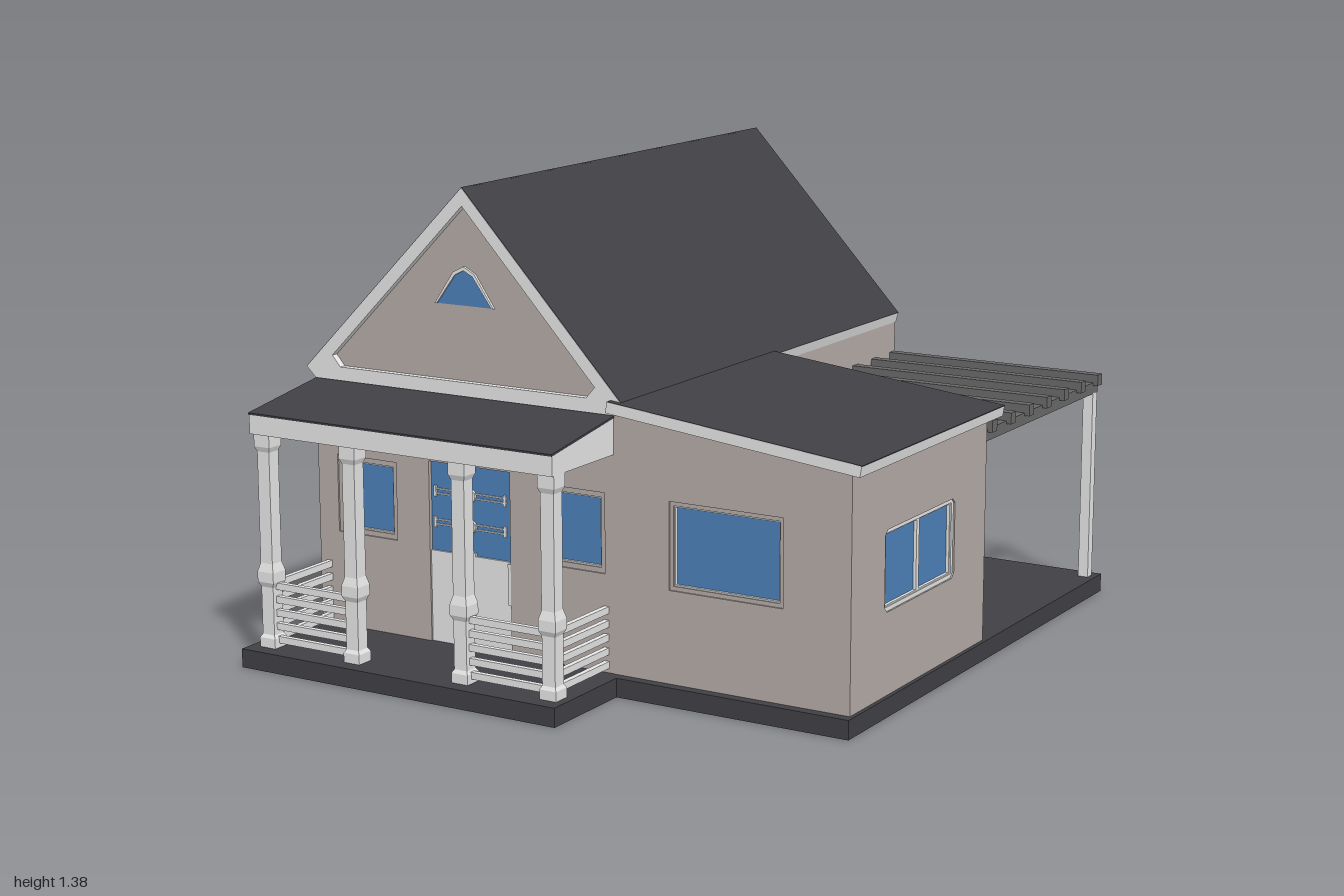
import * as THREE from 'three';

const flat = (name, color) => {
  const m = new THREE.MeshStandardMaterial({ color });
  m.name = name;
  return m;
};

export function createModel() {
  const house = new THREE.Group();
  house.name = 'house';
  const wall = flat('taupe wall', 0xb4aba6);
  const white = flat('white trim', 0xe6e6e6);
  const dark = flat('dark roof', 0x403f45);
  const blue = flat('blue glass', 0x4c80b8);
  const timber = flat('grey timber', 0x696969);

  const add = (name, geo, mat, parent = house) => {
    const m = new THREE.Mesh(geo, mat);
    m.name = name;
    parent.add(m);
    return m;
  };
  // Box given by its limits on each axis
  const box = (name, x0, x1, y0, y1, z0, z1, mat, parent) => {
    const m = add(name, new THREE.BoxGeometry(x1 - x0, y1 - y0, z1 - z0), mat, parent);
    m.position.set((x0 + x1) / 2, (y0 + y1) / 2, (z0 + z1) / 2);
    return m;
  };
  const vectors = pts => pts.map(p => new THREE.Vector2(...p));
  // Outline in x, y, with holes, pushed from z0 to z1
  const prism = (name, pts, z0, z1, mat, holes = [], parent = house) => {
    const s = new THREE.Shape(vectors(pts));
    s.holes = holes.map(h => new THREE.Path(vectors(h)));
    const m = add(name, new THREE.ExtrudeGeometry(s, { depth: z1 - z0, bevelEnabled: false }), mat, parent);
    m.position.z = z0;
    return m;
  };
  // Outline in x, -z raised from y0 to y1
  const plan = (name, pts, y0, y1, mat, holes) => {
    const m = prism(name, pts, 0, y1 - y0, mat, holes);
    m.rotation.x = -Math.PI / 2;
    m.position.y = y0;
  };
  // Thin sloping panel with its top on the line from (x0, y0) to (x1, y1)
  const panel = (name, x0, y0, x1, y1, z0, z1, t) => {
    const a = Math.atan2(y1 - y0, x1 - x0);
    const m = add(name, new THREE.BoxGeometry(Math.hypot(x1 - x0, y1 - y0), t, z1 - z0), dark);
    m.position.set((x0 + x1) / 2 + Math.sin(a) * t / 2, (y0 + y1) / 2 - Math.cos(a) * t / 2, (z0 + z1) / 2);
    m.rotation.z = a;
  };
  // Rectangle about (x, y) with corners cut by c
  const rect = (x, y, w, h, c = 0) => {
    const a = w / 2, b = h / 2;
    if (!c) return [[x - a, y - b], [x + a, y - b], [x + a, y + b], [x - a, y + b]];
    return [[x - a + c, y - b], [x + a - c, y - b], [x + a, y - b + c], [x + a, y + b - c],
      [x + a - c, y + b], [x - a + c, y + b], [x - a, y + b - c], [x - a, y - b + c]];
  };

  // Foundation: thin floor on a hollow skirt
  const edge = i => [[-0.91 + i, -1 + i], [0.158 - i, -1 + i], [0.158 - i, -0.69 + i],
    [0.882 - i, -0.69 + i], [0.882 - i, 1 - i], [-0.91 + i, 1 - i]];
  plan('skirt', edge(0), 0, 0.055, dark, [edge(0.006)]);
  plan('floor', edge(0.003), 0.046, 0.055, dark);

  // Wall with window openings; its outer face is local z = 0
  const facade = (name, outline, windows, x, z, turn, doorway = []) => {
    const g = new THREE.Group();
    g.name = name;
    g.position.set(x, 0, z);
    g.rotation.y = turn;
    house.add(g);
    const holes = windows.map(w => rect(w.u, w.y, w.w, w.h, w.cut));
    prism('wall', outline, -0.03, 0, wall, [...holes, ...doorway], g);
    windows.forEach((w, i) => {
      const r = w.rim;
      const inner = rect(w.u, w.y, w.w - 2 * r, w.h - 2 * r);
      prism('frame', holes[i], -0.03, -0.005, w.mat, [inner], g);
      prism('innerFrame', inner, -0.03, -0.009, white, [rect(w.u, w.y, w.w - 2 * r - 0.008, w.h - 2 * r - 0.008)], g);
      prism('glass', inner, -0.025, -0.018, blue, [], g);
      if (w.split) box('mullion', w.u - 0.008, w.u + 0.008, w.y - w.h / 2 + r, w.y + w.h / 2 - r, -0.025, -0.009, white, g);
    });
    return g;
  };
  const span = (a, b, ya, yb = ya) => [[a, 0.05], [b, 0.05], [b, yb], [a, ya]];
  const q = Math.PI / 2;
  const small = { y: 0.453, w: 0.21, h: 0.23, rim: 0.015, mat: wall };
  const tall = { y: 0.47, w: 0.48, h: 0.28, rim: 0.014, mat: wall };

  // Main walls
  const front = facade('frontWall', [[-0.885, 0.05], [-0.49, 0.05], [-0.49, 0.587], [-0.212, 0.587], [-0.212, 0.05],
    [0.14, 0.05], [0.14, 0.8], [-0.885, 0.8]], [{ ...small, u: -0.71 }, { ...small, u: -0.002 }], 0, 0.658, 0);
  facade('backWall', span(-0.16, 0.885, 0.8), [], 0, -0.98, Math.PI);
  facade('leftWall', span(-0.98, 0.658, 0.8), [{ ...tall, u: -0.58 }, { ...tall, u: 0.24, w: 0.5 }], -0.885, 0, -q);
  facade('rightWall', span(-0.6, 0.98, 0.8),
    [{ u: 0.572, y: 0.453, w: 0.37, h: 0.265, rim: 0.014, mat: white }], 0.16, 0, q);

  // Side wing walls
  facade('wingFront', span(0.132, 0.87, 0.805, 0.725),
    [{ u: 0.488, y: 0.446, w: 0.355, h: 0.25, rim: 0.012, mat: wall }], 0, 0.66, 0);
  facade('wingSide', span(-0.66, 0.16, 0.725),
    [{ u: -0.253, y: 0.405, w: 0.425, h: 0.23, cut: 0.014, rim: 0.012, mat: white, split: true }], 0.87, 0, q);
  facade('wingBack', span(-0.87, -0.15, 0.725, 0.803),
    [{ u: -0.51, y: 0.46, w: 0.34, h: 0.25, rim: 0.012, mat: white, split: true }], 0, -0.16, Math.PI);

  // Front door with glazed, ornamented upper half
  const door = new THREE.Group();
  door.name = 'frontDoor';
  front.add(door);
  box('doorPanel', -0.49, -0.212, 0.05, 0.325, -0.03, -0.006, white, door);
  box('doorGlass', -0.49, -0.212, 0.325, 0.587, -0.03, -0.012, blue, door);
  box('doorHandle', -0.222, -0.208, 0.2, 0.32, -0.01, 0, white, door);
  for (const y of [0.41, 0.5]) {
    for (const d of [-0.007, 0.007]) box('doorBar', -0.48, -0.23, y + d - 0.002, y + d + 0.002, -0.015, -0.007, white, door);
    for (const x of [-0.475, -0.235]) box('barEnd', x - 0.004, x + 0.004, y - 0.016, y + 0.016, -0.015, -0.006, white, door);
    const rosette = add('rosette', new THREE.CylinderGeometry(0.021, 0.021, 0.01, 12), white, door);
    rosette.rotation.x = q;
    rosette.position.set(-0.355, y, -0.009);
  }
  for (const y of [0.33, 0.58]) box('barCentre', -0.375, -0.335, y - 0.005, y + 0.005, -0.015, -0.005, white, door);

  // Main roof: trim frame, recessed gables and dark slopes
  const gable = [[-0.88, 0.79], [0.16, 0.79], [0.168, 0.82], [-0.355, 1.379], [-0.912, 0.82]];
  const recess = [[-0.79, 0.83], [0.05, 0.83], [0.078, 0.862], [-0.355, 1.328], [-0.818, 0.862]];
  prism('roofTrim', gable, -0.987, 0.666, white, [recess]);
  panel('leftRoof', -0.913, 0.821, -0.355, 1.381, -0.986, 0.665, 0.004);
  panel('rightRoof', -0.355, 1.381, 0.169, 0.821, -0.986, 0.665, 0.004);
  for (const [z, turn] of [[0.645, 0], [-0.966, Math.PI]]) {
    const g = new THREE.Group();
    g.name = 'gable';
    g.position.set(-0.362, 0, z);
    g.rotation.y = turn;
    house.add(g);
    const side = turn ? -1 : 1;
    const outline = recess.map(([x, y]) => [side * (x + 0.362), y]);
    prism('gableWall', outline, -0.02, 0, wall, [], g);
    const arch = [[-0.093, 1.045], [0.093, 1.045], [0.03, 1.13], [0, 1.145], [-0.03, 1.13]];
    prism('atticGlass', arch, 0, 0.003, blue, [], g);
    prism('atticTrim', [[0.093, 1.045], [0.1, 1.045], [0.036, 1.138], [0, 1.156], [-0.036, 1.138],
      [-0.1, 1.045], [-0.093, 1.045], ...arch.slice(2).reverse()], 0, 0.008, white, [], g);
  }

  // Chimney with a shallow flue
  plan('chimney', rect(-0.606, 0.39, 0.168, 0.5), 0.955, 1.255, white, [rect(-0.607, 0.392, 0.066, 0.345)]);
  box('flueFloor', -0.645, -0.57, 1.0, 1.2, -0.57, -0.215, white);

  // Wing roof
  prism('wingRoofTrim', [[0.125, 0.8], [0.905, 0.715], [0.91, 0.746], [0.13, 0.831]], -0.189, 0.687, white);
  panel('wingRoof', 0.13, 0.832, 0.911, 0.747, -0.188, 0.686, 0.003);

  // Porch canopy
  for (const x of [-0.84, 0.135]) {
    const m = prism('porchCheek', [[0.655, 0.68], [0.965, 0.68], [0.965, 0.736], [0.655, 0.783]], 0, 0.045, white);
    m.rotation.y = -q;
    m.position.set(x, 0, 0);
  }
  box('porchBeam', -0.885, 0.135, 0.68, 0.736, 0.92, 0.965, white);
  const canopy = add('porchRoof', new THREE.BoxGeometry(1.022, 0.006, 0.316), dark);
  canopy.position.set(-0.375, 0.762, 0.811);
  canopy.rotation.x = Math.atan2(0.047, 0.31);

  // Porch posts: plinth, collar, shaft and capital turned with four sides
  const profile = [[0, 0], [0.027, 0], [0.027, 0.04], [0.021, 0.05], [0.021, 0.19], [0.028, 0.205], [0.028, 0.235],
    [0.021, 0.26], [0.021, 0.585], [0.027, 0.6], [0.027, 0.64], [0, 0.64]]
    .map(([r, y]) => new THREE.Vector2(r * Math.SQRT2, y));
  const postGeo = new THREE.LatheGeometry(profile, 4).rotateY(Math.PI / 4).toNonIndexed();
  postGeo.computeVertexNormals();
  const postX = [-0.852, -0.553, -0.183, 0.107];
  for (const x of postX) add('porchPost', postGeo, white).position.set(x, 0.043, 0.928);

  // Porch railings
  for (let i = 0; i < 5; i++) {
    const y = 0.068 + i * 0.0395;
    for (const k of [0, 2]) box('frontRail', postX[k] + 0.02, postX[k + 1] - 0.02, y, y + 0.02, 0.92, 0.936, white);
    for (const x of [postX[0], postX[3]]) box('sideRail', x - 0.008, x + 0.008, y, y + 0.02, 0.655, 0.91, white);
  }

  // Pergola
  const pergola = new THREE.Group();
  pergola.name = 'pergola';
  house.add(pergola);
  for (const x of [0.18, 0.846]) box('pergolaBeam', x - 0.016, x + 0.016, 0.638, 0.673, -0.975, -0.162, timber, pergola);
  for (let i = 0; i < 7; i++) {
    const z = -0.957 + i * 0.1265;
    box('pergolaRafter', 0.162, 0.877, 0.664, 0.698, z - 0.016, z + 0.016, timber, pergola);
  }
  box('pergolaPost', 0.83, 0.862, 0.05, 0.64, -0.973, -0.941, white, pergola);

  return house;
}
